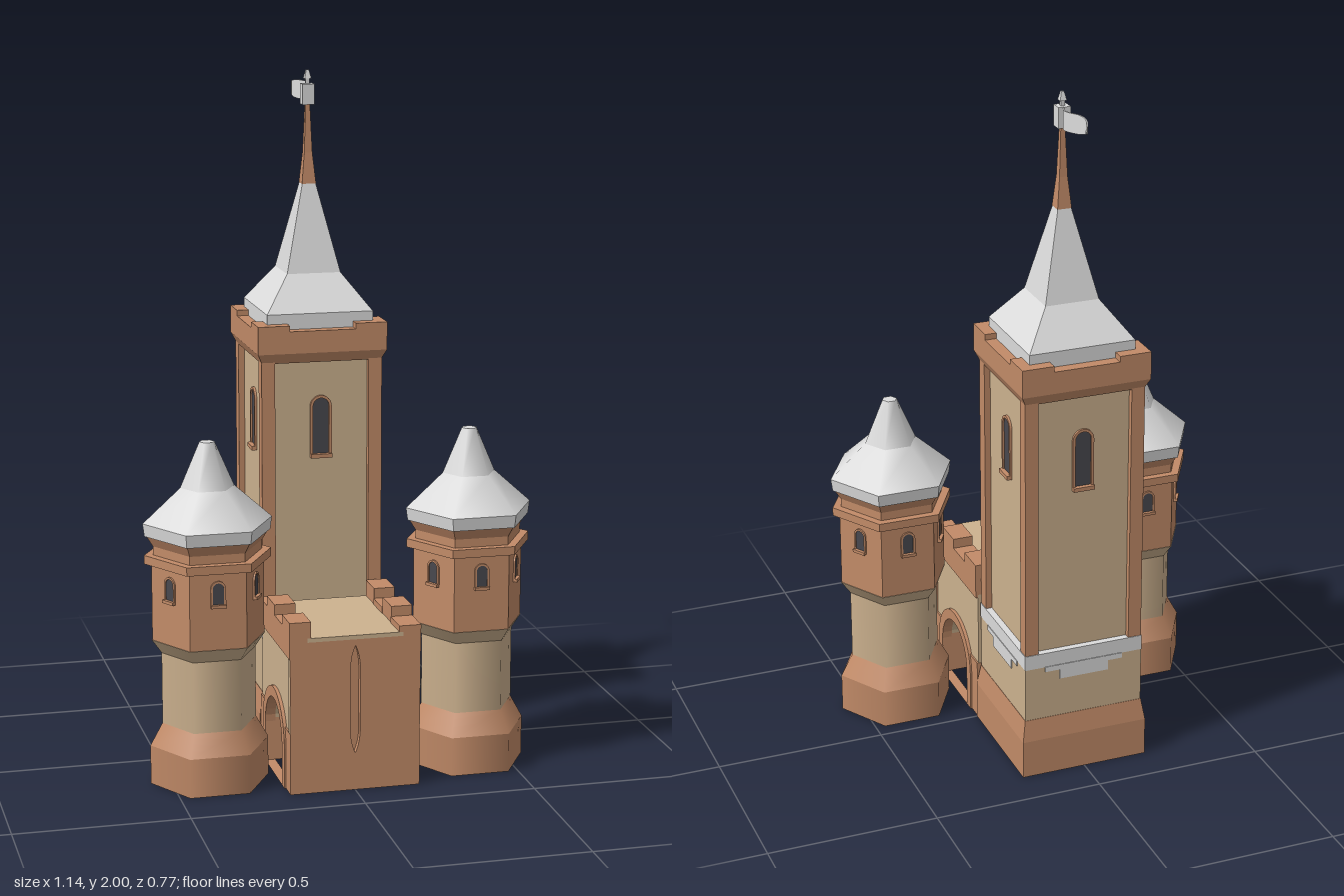
import * as THREE from 'three';

const mat = (name, color) => {
  const m = new THREE.MeshStandardMaterial({ color });
  m.name = name;
  return m;
};

export function createModel() {
  const brick = mat('brick', 0xc28b68);
  const plaster = mat('plaster', 0xcdb28f);
  const slate = mat('slate', 0xdcdcdc);
  const dark = mat('window dark', 0x48484e);
  const root = new THREE.Group();
  root.name = 'castle';

  const add = (parent, name, geo, material) => {
    const mesh = new THREE.Mesh(geo, material);
    mesh.name = name;
    parent.add(mesh);
    return mesh;
  };
  const group = (parent, name, x = 0, y = 0, z = 0) => {
    const g = new THREE.Group();
    g.name = name;
    g.position.set(x, y, z);
    parent.add(g);
    return g;
  };
  // box given by its limits on each axis
  const box = (x0, x1, y0, y1, z0, z1) =>
    new THREE.BoxGeometry(x1 - x0, y1 - y0, z1 - z0)
      .translate((x0 + x1) / 2, (y0 + y1) / 2, (z0 + z1) / 2);
  const flat = (geo) => {
    const g = geo.toNonIndexed();
    g.computeVertexNormals();
    return g;
  };
  // square frustum by half widths
  const square = (h0, h1, y0, y1) =>
    flat(new THREE.CylinderGeometry(h1 * Math.SQRT2, h0 * Math.SQRT2, y1 - y0, 4)
      .rotateY(Math.PI / 4).translate(0, (y0 + y1) / 2, 0));
  // hexagonal frustum with corners on the x axis
  const hex = (r0, r1, y0, y1) =>
    new THREE.CylinderGeometry(r1, r0, y1 - y0, 6)
      .rotateY(Math.PI / 6).translate(0, (y0 + y1) / 2, 0);
  // outline of a round-headed opening standing on y0
  const arch = (Type, cx, r, y0, spring) => {
    const s = new Type();
    s.moveTo(cx - r, y0);
    s.lineTo(cx + r, y0);
    s.lineTo(cx + r, spring);
    s.absarc(cx, spring, r, 0, Math.PI, false);
    s.lineTo(cx - r, y0);
    return s;
  };
  const extrude = (shape, depth) =>
    new THREE.ExtrudeGeometry(shape, { depth, bevelEnabled: false, curveSegments: 8 });
  // profile drawn in (z, y), extruded across x
  const across = (shape, width) =>
    extrude(shape, width).translate(0, 0, -width / 2).rotateY(-Math.PI / 2);

  // arched window with frame and sill, facing +z at distance d
  const addWindow = (parent, angle, d, r, y0, y1, rim) => {
    const g = group(parent, 'window');
    g.rotation.y = angle;
    const frame = arch(THREE.Shape, 0, r + rim, y0, y1 - r);
    frame.holes.push(arch(THREE.Path, 0, r, y0 + rim / 2, y1 - r));
    add(g, 'windowFrame', extrude(frame, rim).translate(0, 0, d - 0.001), brick);
    add(g, 'windowPane', extrude(arch(THREE.Shape, 0, r, y0, y1 - r), 0.003)
      .translate(0, 0, d - 0.001), dark);
    add(g, 'windowSill', box(-r - rim, r + rim, y0 - rim, y0 + rim / 2, d - 0.005, d + rim * 2), brick);
  };

  // ---- keep: tall square tower at the back ----
  const keep = group(root, 'keep', 0, 0, -0.1925);
  add(keep, 'keepPlinth', square(0.1925, 0.1925, 0, 0.115), brick);
  add(keep, 'keepPlinthSlope', square(0.1925, 0.182, 0.115, 0.18), brick);
  add(keep, 'keepLowerWall', square(0.181, 0.181, 0.18, 0.345), plaster);
  add(keep, 'keepBand', square(0.182, 0.182, 0.345, 0.39), slate);
  add(keep, 'keepUpperWall', square(0.162, 0.162, 0.39, 1.18), plaster);
  for (let i = 0; i < 4; i++) {
    const side = group(keep, 'keepSide');
    side.rotation.y = i * Math.PI / 2;
    add(side, 'bandStep', box(-0.12, 0.12, 0.33, 0.346, 0.178, 0.184), slate);
    add(side, 'bandDrop', box(-0.075, 0.075, 0.3, 0.331, 0.178, 0.184), slate);
    add(side, 'cornerPost', box(0.14, 0.18, 0.39, 1.18, 0.14, 0.18), brick);
    add(side, 'cornerMerlon', box(0.098, 0.1925, 1.26, 1.282, 0.098, 0.1925), brick);
    addWindow(side, 0, 0.162, 0.024, 0.89, 1.06, 0.008);
  }
  add(keep, 'corniceSlope', square(0.178, 0.1925, 1.17, 1.2), brick);
  add(keep, 'cornice', square(0.1925, 0.1925, 1.2, 1.265), brick);

  // bell-cast square roof, mast and flag
  const roof = [[0.158, 1.26], [0.158, 1.31], [0.08, 1.415], [0.019, 1.675]];
  const mast = [[0.021, 1.67], [0.012, 1.76], [0.006, 1.91]];
  for (const [name, profile, material] of [['keepRoof', roof, slate], ['mast', mast, brick]])
    for (let i = 1; i < profile.length; i++)
      add(keep, name, square(profile[i - 1][0], profile[i][0], profile[i - 1][1], profile[i][1]), material);
  add(keep, 'flagSocket', square(0.018, 0.018, 1.9, 1.96), slate);
  add(keep, 'finialNeck', square(0.006, 0.006, 1.96, 1.975), slate);
  add(keep, 'finial', square(0.01, 0.004, 1.975, 2), slate);

  const flag = new THREE.BoxGeometry(0.004, 0.055, 0.178, 1, 1, 12).translate(0, 0, -0.103);
  const p = flag.attributes.position;
  for (let i = 0; i < p.count; i++) {
    const t = (-p.getZ(i) - 0.014) / 0.178;
    const narrow = t < 0.5 ? 1 : 1 - 0.92 * ((t - 0.5) / 0.5) ** 1.3;
    p.setX(i, p.getX(i) + 0.014 * Math.sin(t * 7));
    p.setY(i, 1.932 + p.getY(i) * narrow + 0.006 * t);
  }
  flag.computeVertexNormals();
  add(keep, 'flag', flag, slate);

  // ---- gatehouse with a passage running side to side ----
  const gate = group(root, 'gatehouse');
  const wall = new THREE.Shape();
  wall.moveTo(0.003, 0);
  wall.lineTo(0.08, 0);
  wall.lineTo(0.08, 0.12);
  wall.absarc(0.19, 0.12, 0.11, Math.PI, 0, true);
  wall.lineTo(0.3, 0);
  wall.lineTo(0.365, 0);
  wall.lineTo(0.365, 0.41);
  wall.lineTo(0.003, 0.41);
  add(gate, 'gateWall', across(wall, 0.37), plaster);
  for (const [z0, z1] of [[0.002, 0.081], [0.299, 0.366]])
    add(gate, 'gatePlinth', box(-0.19, 0.19, 0, 0.18, z0, z1 > 0.3 ? z1 : 0.081), brick)
      .visible = true;
  // trim the plinth tops back to the arch with a projecting surround
  const surround = arch(THREE.Shape, 0.19, 0.14, 0, 0.12);
  surround.holes.push(arch(THREE.Path, 0.19, 0.108, 0.0005, 0.12));
  for (const s of [-1, 1])
    add(gate, 'archSurround', across(surround, 0.03).translate(s * 0.18, 0, 0), brick);

  // front wall with a pointed arrow slit
  const front = new THREE.Shape();
  front.moveTo(-0.19, 0);
  front.lineTo(0.19, 0);
  front.lineTo(0.19, 0.455);
  front.lineTo(-0.19, 0.455);
  const slit = new THREE.Path();
  slit.moveTo(0, 0.11);
  slit.quadraticCurveTo(0.014, 0.14, 0.014, 0.18);
  slit.lineTo(0.014, 0.36);
  slit.quadraticCurveTo(0.014, 0.4, 0, 0.43);
  slit.quadraticCurveTo(-0.014, 0.4, -0.014, 0.36);
  slit.lineTo(-0.014, 0.18);
  slit.quadraticCurveTo(-0.014, 0.14, 0, 0.11);
  front.holes.push(slit);
  add(gate, 'frontWall', extrude(front, 0.021).translate(0, 0, 0.364), brick);
  add(gate, 'slitBack', box(-0.03, 0.03, 0.1, 0.44, 0.36, 0.367), brick);
  for (const s of [-1, 1])
    add(gate, 'frontWallReturn', box(s * 0.19 - 0.001, s * 0.19 + 0.001, 0.18, 0.4, 0.365, 0.384), plaster);

  // walkway and staggered battlements
  add(gate, 'walkwayBase', box(-0.18, 0.18, 0.4, 0.45, 0.003, 0.37), brick);
  add(gate, 'walkway', box(-0.14, 0.14, 0.448, 0.46, 0.003, 0.386), plaster);
  for (const s of [-1, 1])
    for (let i = 0; i < 4; i++) {
      const raised = (i % 2 === 1) === (s < 0);
      const inner = raised ? 0.13 : 0.128;
      const [a, b] = s < 0 ? [-0.192, -inner] : [inner, 0.192];
      const z = 0.003 + i * 0.0957;
      add(gate, raised ? 'merlon' : 'crenel', box(a, b, 0.4, raised ? 0.508 : 0.478, z, z + 0.0957), brick);
    }

  // ---- two hexagonal side turrets ----
  for (const s of [-1, 1]) {
    const t = group(root, s > 0 ? 'leftTurret' : 'rightTurret', s * 0.385, 0, 0.195);
    add(t, 'turretPlinth', hex(0.173, 0.173, 0, 0.115), brick);
    add(t, 'turretPlinthSlope', hex(0.173, 0.137, 0.115, 0.18), brick);
    add(t, 'turretShaft', hex(0.137, 0.137, 0.18, 0.395), plaster);
    add(t, 'turretCorbel', hex(0.137, 0.165, 0.39, 0.43), plaster);
    add(t, 'turretRoom', flat(hex(0.163, 0.163, 0.43, 0.66)), brick);
    add(t, 'turretLedge', flat(hex(0.184, 0.184, 0.655, 0.68)), brick);
    add(t, 'turretNeck', flat(hex(0.158, 0.158, 0.68, 0.705)), brick);
    add(t, 'turretEaves', flat(hex(0.158, 0.178, 0.705, 0.737)), brick);
    add(t, 'roofEdge', flat(hex(0.182, 0.187, 0.735, 0.772)), slate);
    add(t, 'roofSkirt', hex(0.187, 0.078, 0.772, 0.87), slate);
    add(t, 'roofSpire', hex(0.078, 0.022, 0.87, 1), slate);
    for (let i = 0; i < 6; i++)
      addWindow(t, i * Math.PI / 3, 0.1412, 0.016, 0.56, 0.625, 0.006);
  }
  return root;
}
